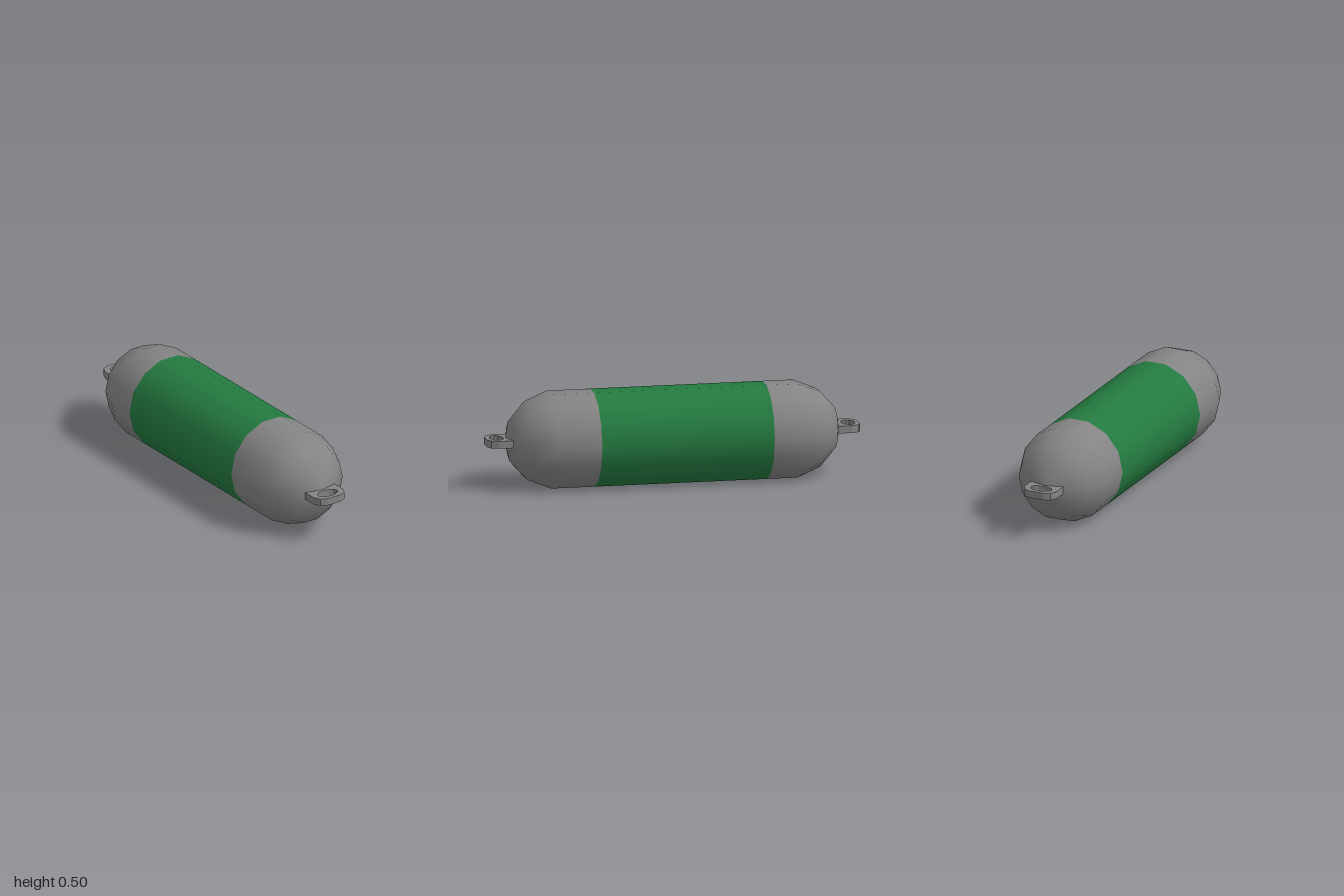
import * as THREE from 'three';

const SIDES = 14;
const RADIUS = 0.257;
const AXIS_Y = 0.2506;

export function createModel() {
  const grey = new THREE.MeshStandardMaterial({ color: 0x848484 });
  grey.name = 'grey';
  const green = new THREE.MeshStandardMaterial({ color: 0x247a40 });
  green.name = 'green';

  const model = new THREE.Group();
  model.name = 'fender';

  // Turned parts: profile points are [x along the axis, radius]
  function addTurned(name, profile, material) {
    const points = profile.map(([x, r]) => new THREE.Vector2(r, x));
    const geometry = new THREE.LatheGeometry(points, SIDES);
    geometry.rotateZ(-Math.PI / 2);
    const mesh = new THREE.Mesh(geometry, material);
    mesh.name = name;
    mesh.position.y = AXIS_Y;
    model.add(mesh);
  }

  // Rounded ends and the coloured middle band
  const dome = [[0.66, RADIUS], [0.785, 0.206], [0.866, 0.115], [0.897, 0]];
  const mirroredDome = dome.map(([x, r]) => [-x, r]).reverse();
  addTurned('rightEnd', [...mirroredDome, [-0.495, RADIUS]], grey);
  addTurned('middleBand', [[-0.495, RADIUS], [0.43, RADIUS]], green);
  addTurned('leftEnd', [[0.43, RADIUS], ...dome], grey);

  // Flat eyelet with an oval rope hole, partly sunk into the dome
  const half = [[0.84, 0.094], [0.945, 0.094], [0.985, 0.077], [1, 0.04]];
  const outline = [...half.map(([x, z]) => [x, -z]), ...half.slice().reverse()];
  const shape = new THREE.Shape(outline.map(([x, z]) => new THREE.Vector2(x, z)));
  const hole = new THREE.Path();
  hole.absellipse(0.942, 0, 0.036, 0.06, 0, Math.PI * 2, true);
  shape.holes.push(hole);
  const eyelet = new THREE.ExtrudeGeometry(shape, { depth: 0.039, bevelEnabled: false, curveSegments: 6 });
  eyelet.translate(0, 0, -0.0195);
  eyelet.rotateX(-Math.PI / 2);

  for (const [name, turn] of [['leftEyelet', 0], ['rightEyelet', Math.PI]]) {
    const mesh = new THREE.Mesh(eyelet, grey);
    mesh.name = name;
    mesh.position.y = 0.2525;
    mesh.rotation.y = turn;
    model.add(mesh);
  }

  return model;
}
